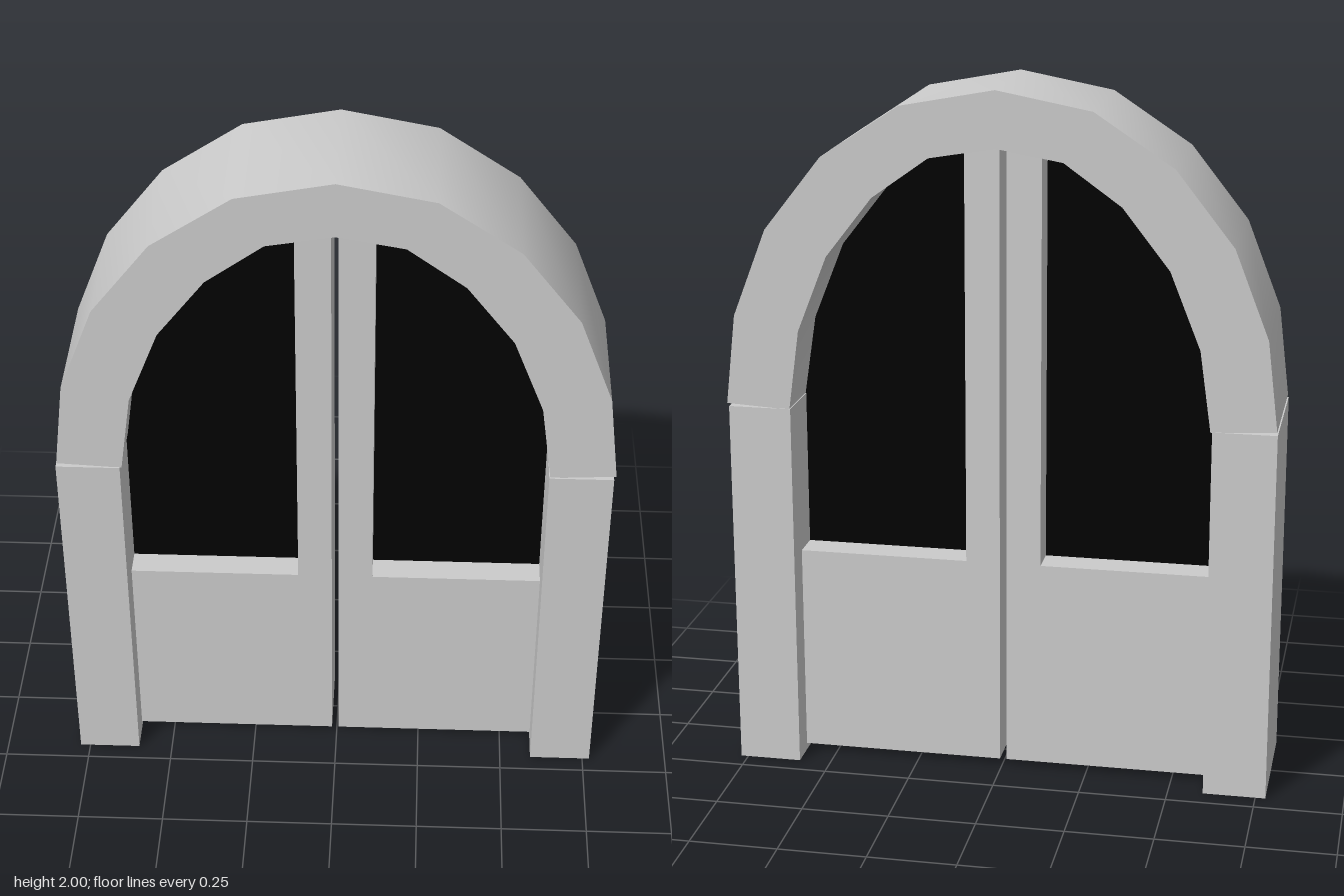
import * as THREE from 'three';
import { toCreasedNormals } from 'three/addons/utils/BufferGeometryUtils.js';

const grey = new THREE.MeshStandardMaterial({ color: 0xcccccc });
const black = new THREE.MeshStandardMaterial({ color: 0x030303 });

// Half profiles of the arch, from crown to springing
const outer = [[0, 2], [0.265, 1.95], [0.487, 1.803], [0.65, 1.595], [0.747, 1.345], [0.777, 1.088]];
const inner = [[0, 1.842], [0.185, 1.81], [0.345, 1.695], [0.477, 1.525], [0.563, 1.308], [0.595, 1.078]];
const mirrored = (half) => [...half.slice(1).reverse().map(([x, y]) => [-x, y]), ...half];

// Solid with the given outline between two z planes
function slab(name, points, z0, z1, material = grey) {
  const shape = new THREE.Shape(points.map(([x, y]) => new THREE.Vector2(x, y)));
  const geometry = new THREE.ExtrudeGeometry(shape, { depth: z1 - z0, bevelEnabled: false });
  geometry.translate(0, 0, z0);
  const mesh = new THREE.Mesh(geometry, material);
  mesh.name = name;
  return mesh;
}

export function createModel() {
  const model = new THREE.Group();
  model.name = 'archedDoorway';

  // Arch, leaning back slightly towards the crown, smooth along its curve
  const arch = slab('arch', [...mirrored(outer), ...mirrored(inner).reverse()], -0.187, 0.195);
  const pos = arch.geometry.attributes.position;
  for (let i = 0; i < pos.count; i++) {
    pos.setZ(i, pos.getZ(i) - 0.014 * (pos.getY(i) - 1.08) / 0.92);
  }
  arch.geometry = toCreasedNormals(arch.geometry, 0.6);
  model.add(arch);

  for (const [side, s] of [['left', 1], ['right', -1]]) {
    const part = (name, points, z0, z1, material) => {
      const mesh = slab(side + name, points.map(([x, y]) => [s * x, y]), z0, z1, material);
      mesh.position.x = -0.004;
      return mesh;
    };

    // Square post under the arch
    model.add(part('Post', [[0.596, 0], [0.775, 0], [0.775, 1.08], [0.596, 1.08]], -0.19, 0.2));

    // Door leaf: lower panel and meeting stile in one outline, plus a dark pane
    const door = new THREE.Group();
    door.name = side + 'Door';
    door.add(part('DoorFrame', [
      [0.01, 0.02], [0.597, 0.02], [0.597, 0.63], [0.108, 0.63], [0.108, 1.825], [0.01, 1.842],
    ], -0.11, 0.112));
    door.add(part('DoorPane', [
      [0.108, 0.63], [0.598, 0.63], [0.598, 1.078], ...inner.slice(1, -1).reverse(), [0.108, 1.824],
    ], -0.02, 0.035, black));
    model.add(door);
  }
  return model;
}
